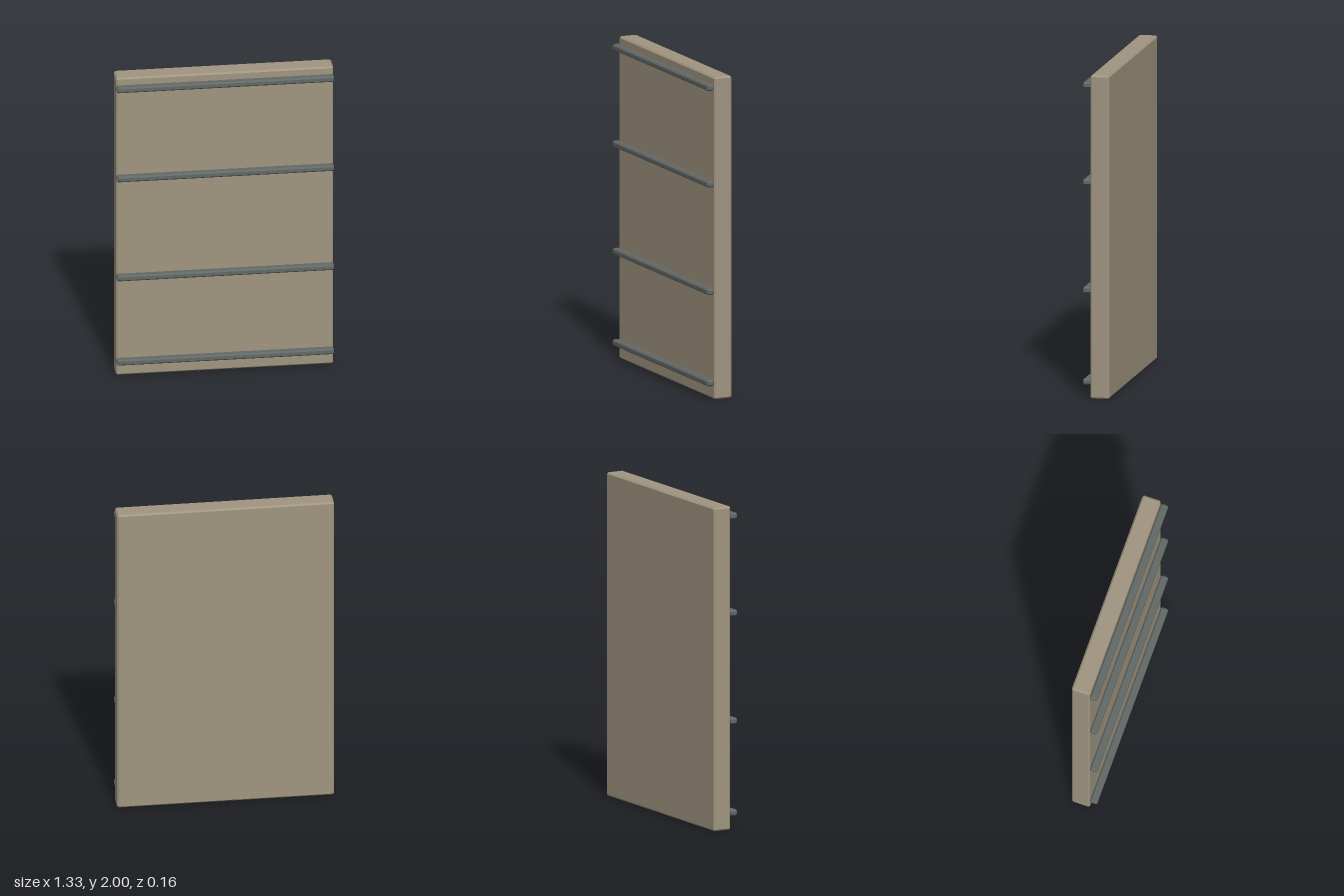
import * as THREE from 'three';
import { ConvexGeometry } from 'three/addons/geometries/ConvexGeometry.js';

// Box with a single flat chamfer on every edge and corner
function chamferBox(w, h, d, c) {
  const points = [];
  for (const sx of [-1, 1]) for (const sy of [-1, 1]) for (const sz of [-1, 1]) {
    const x = w / 2, y = h / 2, z = d / 2;
    points.push(
      new THREE.Vector3(sx * x, sy * (y - c), sz * (z - c)),
      new THREE.Vector3(sx * (x - c), sy * y, sz * (z - c)),
      new THREE.Vector3(sx * (x - c), sy * (y - c), sz * z)
    );
  }
  return new ConvexGeometry(points);
}

export function createModel() {
  const model = new THREE.Group();
  model.name = 'battenedPanel';
  const panelMaterial = new THREE.MeshStandardMaterial({ color: 0xa09580, flatShading: true });
  const railMaterial = new THREE.MeshStandardMaterial({ color: 0x626966, flatShading: true });
  const width = 1.33, front = 0.035, halfDepth = 0.082;

  // Main slab
  const panelDepth = front + halfDepth;
  const panel = new THREE.Mesh(chamferBox(width, 2, panelDepth, 0.01), panelMaterial);
  panel.name = 'panel';
  panel.position.set(0, 1, front - panelDepth / 2);
  model.add(panel);

  // Horizontal rails across the front
  const railDepth = halfDepth - front;
  const railGeometry = chamferBox(width, 0.038, railDepth, 0.009);
  [0.103, 0.67, 1.337, 1.937].forEach((y, i) => {
    const rail = new THREE.Mesh(railGeometry, railMaterial);
    rail.name = `rail${i + 1}`;
    rail.position.set(0, y, front + railDepth / 2);
    model.add(rail);
  });

  return model;
}
